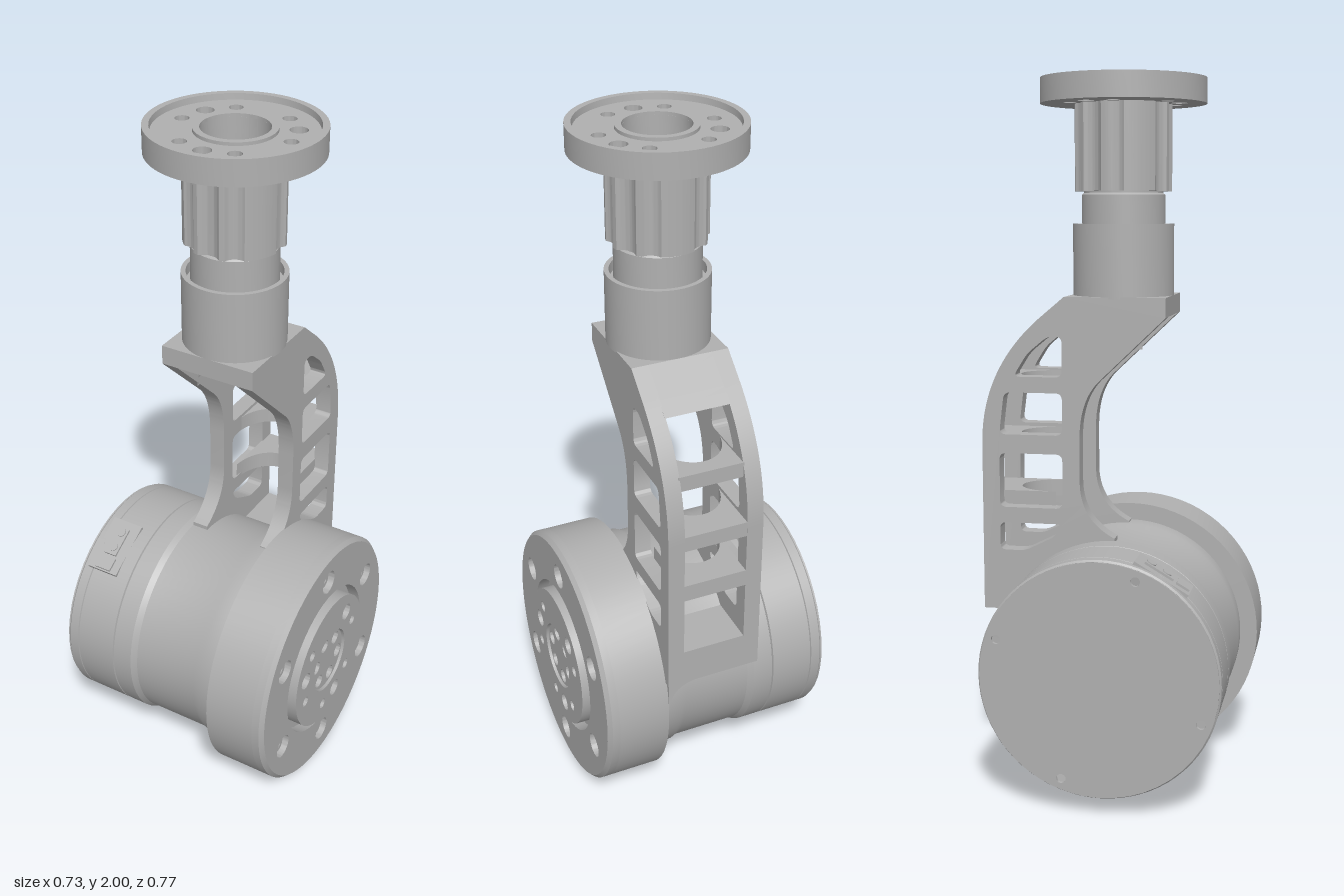
import * as THREE from 'three';
import { toCreasedNormals } from 'three/addons/utils/BufferGeometryUtils.js';

const AXIS_Y = 0.383; // height of the motor axis
const COL_X = 0.025;  // x of the vertical column
const metal = new THREE.MeshStandardMaterial({ color: 0xb0b0b0 });
metal.name = 'grey metal';

function part(parent, name, geo, x = 0, y = 0, z = 0) {
  const m = new THREE.Mesh(toCreasedNormals(geo, 0.5), metal);
  m.name = name;
  m.position.set(x, y, z);
  parent.add(m);
  return m;
}
const lathe = (pts) => new THREE.LatheGeometry(pts.map((p) => new THREE.Vector2(p[0], p[1])), 72);
const latheX = (pts) => lathe(pts).rotateZ(-Math.PI / 2);
const extrude = (shape, depth) => new THREE.ExtrudeGeometry(shape, { depth, bevelEnabled: false, curveSegments: 24 });
const extrudeX = (shape, depth) => extrude(shape, depth).rotateY(Math.PI / 2); // shape (-z, y), grows to +x
const extrudeY = (shape, depth) => extrude(shape, depth).rotateX(-Math.PI / 2); // shape (x, -z), grows up

const circle = (x, y, r, Type = THREE.Path) => new Type().absarc(x, y, r, 0, Math.PI * 2);
function disc(r, holes) {
  const s = circle(0, 0, r, THREE.Shape);
  for (const [x, y, hr] of holes) s.holes.push(circle(x, y, hr));
  return s;
}
const polar = (deg, R, r) => [R * Math.cos(deg * Math.PI / 180), R * Math.sin(deg * Math.PI / 180), r];

function polygon(pts) {
  return new THREE.Shape(pts.map((p) => new THREE.Vector2(p[0], p[1])));
}
// polygon with rounded corners, used for the window cut-outs
function rounded(pts, r) {
  const path = new THREE.Path();
  pts.forEach((p, i) => {
    const c = new THREE.Vector2(...p);
    const a = new THREE.Vector2(...pts[(i + pts.length - 1) % pts.length]).sub(c).setLength(r).add(c);
    const b = new THREE.Vector2(...pts[(i + 1) % pts.length]).sub(c).setLength(r).add(c);
    if (i) path.lineTo(a.x, a.y); else path.moveTo(a.x, a.y);
    path.quadraticCurveTo(c.x, c.y, b.x, b.y);
  });
  path.closePath();
  return path;
}

function buildMotor() {
  const g = new THREE.Group();
  g.name = 'motor';
  g.position.y = AXIS_Y;
  part(g, 'motorHousing', latheX([[0, -0.355], [0.31, -0.355], [0.33, -0.36], [0.335, -0.355], [0.335, -0.327],
    [0.33, -0.325], [0.335, -0.323], [0.335, -0.2], [0.329, -0.198], [0.335, -0.195], [0.335, -0.135],
    [0.325, -0.118], [0.325, 0.08], [0.333, 0.1], [0.333, 0.16], [0.383, 0.16], [0.383, 0.31], [0, 0.31]]));
  // rear cover with four screw pockets
  const screws = [20, 110, 200, 290].map((d) => polar(d, 0.3, 0.013));
  part(g, 'rearCover', extrudeX(disc(0.33, screws), 0.012), -0.365);
  // flange face with six bolts
  part(g, 'flangeRim', latheX([[0.383, 0.31], [0.383, 0.333], [0.372, 0.345], [0.358, 0.345]]));
  const bolts = [30, 90, 150, 210, 270, 330].map((d) => polar(d, 0.295, 0.036));
  part(g, 'flangeFace', extrudeX(disc(0.36, [...bolts, [0, 0, 0.235]]), 0.035), 0.31);
  for (const [u, v] of bolts) {
    part(g, 'flangeBolt', extrudeX(disc(0.025, [[0, 0, 0.012]]), 0.02), 0.31, v, -u);
  }
  // output disc and hub
  const big = [49, 167, 287].map((d) => polar(d, 0.155, 0.026));
  const small = [20, 138, 198, 258, 318].map((d) => polar(d, 0.156, 0.016));
  part(g, 'outputDisc', extrudeX(disc(0.21, [...big, ...small, [0, 0, 0.1]]), 0.05), 0.31);
  const hub = [-13, 47, 107, 167, 227, 287].map((d) => polar(d, 0.07, 0.021));
  part(g, 'outputHub', extrudeX(disc(0.097, hub), 0.042), 0.31);
  for (const [u, v] of hub) {
    part(g, 'hubBolt', extrudeX(disc(0.016, [[0, 0, 0.008]]), 0.03), 0.31, v, -u);
  }
  // cable socket on the upper front of the housing
  const socket = new THREE.Group();
  socket.name = 'cableSocket';
  socket.position.x = -0.29;
  socket.rotation.x = Math.PI / 2 - 1.04;
  g.add(socket);
  part(socket, 'socketPad', new THREE.BoxGeometry(0.1, 0.02, 0.17), 0, 0.3245, 0);
  part(socket, 'socketBlock', new THREE.BoxGeometry(0.052, 0.008, 0.04), 0, 0.337, 0.06);
  part(socket, 'socketBody', new THREE.BoxGeometry(0.04, 0.008, 0.09), 0, 0.337, -0.015);
  for (const z of [-0.045, 0.005]) {
    part(socket, 'socketPin', new THREE.CylinderGeometry(0.014, 0.014, 0.012, 16), 0, 0.338, z);
  }
  return g;
}

function buildArm() {
  const g = new THREE.Group();
  g.name = 'arm';
  // side plates with four windows each
  const side = new THREE.Shape();
  side.moveTo(-0.143, 1.4);
  side.lineTo(-0.143, 1.345);
  side.lineTo(0.045, 1.165);
  side.quadraticCurveTo(0.1, 1.11, 0.1, 1.0);
  side.lineTo(0.1, 0.88);
  side.quadraticCurveTo(0.1, 0.77, 0, 0.72);
  side.lineTo(0, 0.5);
  side.lineTo(0.383, 0.5);
  side.lineTo(0.383, 0.98);
  side.quadraticCurveTo(0.383, 1.19, 0.22, 1.335);
  side.lineTo(0.143, 1.4);
  side.holes.push(
    rounded([[0.15, 1.175], [0.29, 1.175], [0.25, 1.24], [0.19, 1.29], [0.15, 1.29]], 0.02),
    rounded([[0.15, 1.01], [0.333, 1.01], [0.318, 1.13], [0.15, 1.13]], 0.02),
    rounded([[0.15, 0.8], [0.333, 0.8], [0.333, 0.956], [0.15, 0.956]], 0.02),
    rounded([[0.15, 0.755], [0.17, 0.72], [0.26, 0.675], [0.333, 0.675], [0.333, 0.755]], 0.018),
  );
  for (const x of [-0.117, 0.115]) part(g, 'armSidePlate', extrudeX(side, 0.048), x);
  // solid head and foot between the plates
  const head = polygon([[-0.143, 1.4], [-0.143, 1.345], [0, 1.335], [0.2, 1.3], [0.258, 1.3], [0.22, 1.335], [0.143, 1.4]]);
  part(g, 'armHead', extrudeX(head, 0.19), -0.072);
  const foot = polygon([[0.2, 0.5], [0.383, 0.5], [0.383, 0.61], [0.2, 0.61]]);
  part(g, 'armFoot', extrudeX(foot, 0.19), -0.072);
  // curved crossbars: base height, thickness, back edge
  for (const [y, h, back] of [[1.125, 0.045, 0.348], [0.955, 0.045, 0.382], [0.79, 0.05, 0.383]]) {
    const bar = new THREE.Shape();
    bar.moveTo(-0.072, back);
    bar.lineTo(-0.072, 0.18);
    bar.bezierCurveTo(-0.06, 0.34, 0.105, 0.34, 0.118, 0.18);
    bar.lineTo(0.118, back);
    part(g, 'armCrossbar', extrudeY(bar, h), 0, y);
  }
  // arched corners under the head
  for (const s of [-1, 1]) {
    const corner = new THREE.Shape();
    corner.moveTo(s * 0.093, 0);
    corner.lineTo(s * 0.093, 0.1);
    corner.lineTo(0, 0.1);
    corner.quadraticCurveTo(s * 0.093, 0.1, s * 0.093, 0);
    part(g, 'archCorner', extrude(corner, 0.18), 0.022, 1.235, -0.14);
  }
  // fillet from the arm foot into the flange
  const fillet = new THREE.Shape();
  fillet.moveTo(0.16, 0.4);
  fillet.lineTo(0.16, 0.5);
  fillet.lineTo(0.06, 0.5);
  fillet.quadraticCurveTo(0.16, 0.5, 0.16, 0.4);
  part(g, 'footFillet', extrude(fillet, 0.1), 0, 0, -0.382);
  return g;
}

function buildColumn() {
  const g = new THREE.Group();
  g.name = 'column';
  g.position.x = COL_X;
  part(g, 'columnSleeve', lathe([[0, 1.395], [0.143, 1.395], [0.143, 1.6], [0.13, 1.6], [0.13, 1.57], [0, 1.57]]));
  part(g, 'columnNeck', lathe([[0.118, 1.56], [0.118, 1.68], [0.112, 1.685], [0.112, 1.695]]));
  // screw positions shared by the grooved shaft and the mounting flange
  const screws = [0, 30, 60, 120, 150, 180, 240, 270, 300].map((d) =>
    polar(d, 0.157, [30, 150, 270].includes(d) ? 0.024 : 0.019));
  const outline = [];
  for (let i = 0; i < 240; i++) {
    const t = i / 240 * Math.PI * 2;
    let r = 0.137;
    for (const [x, y, hr] of screws) {
      const along = x * Math.cos(t) + y * Math.sin(t);
      const across = x * Math.sin(t) - y * Math.cos(t);
      const gr = hr + 0.014;
      if (along > 0 && Math.abs(across) < gr) r = Math.min(r, along - Math.sqrt(gr * gr - across * across));
    }
    outline.push([r * Math.cos(t), r * Math.sin(t)]);
  }
  const shaft = polygon(outline);
  shaft.holes.push(circle(0, 0, 0.09));
  part(g, 'groovedShaft', extrudeY(shaft, 0.25), 0, 1.69);
  part(g, 'shaftBore', lathe([[0.04, 1.7], [0.04, 1.88], [0.092, 1.88]].reverse())).rotation.y = 0;
  part(g, 'boreLining', lathe([[0.092, 1.88], [0.04, 1.88], [0.04, 1.7], [0, 1.7]]));
  // mounting flange with raised rim and inner ring
  part(g, 'mountingFlange', extrudeY(disc(0.22, [...screws, [0, 0, 0.09]]), 0.053), 0, 1.93);
  part(g, 'flangeLip', lathe([[0.216, 1.93], [0.233, 1.93], [0.233, 2], [0.215, 2], [0.213, 1.98]]));
  part(g, 'innerRing', lathe([[0.108, 1.98], [0.108, 1.992], [0.09, 1.992], [0.09, 1.93]]));
  return g;
}

export function createModel() {
  const model = new THREE.Group();
  model.name = 'jointedArmSegment';
  model.add(buildMotor(), buildArm(), buildColumn());
  return model;
}
